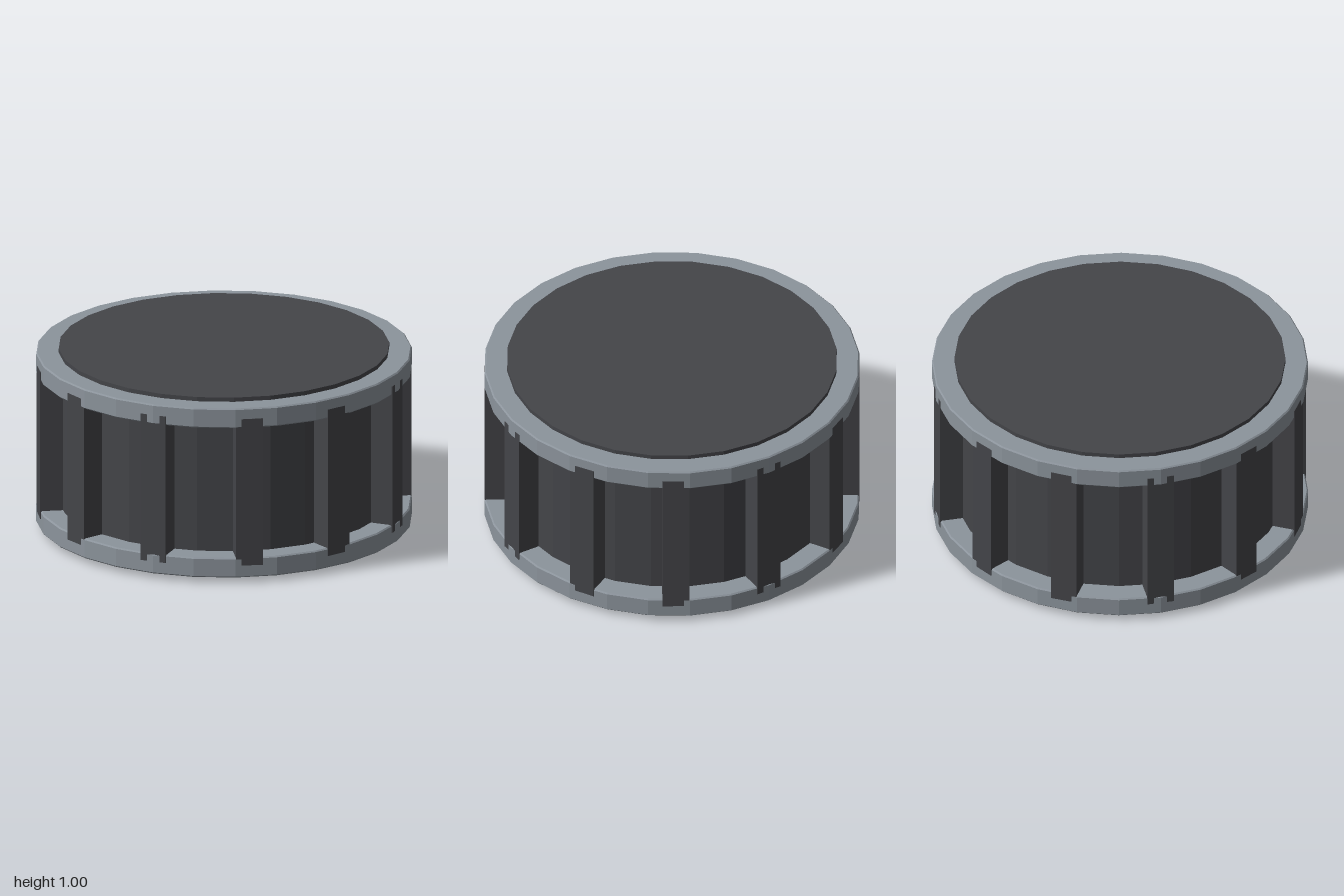
import * as THREE from 'three';

const SIDES = 28;
const LUGS = 12;

export function createModel() {
  const group = new THREE.Group();
  const dark = new THREE.MeshStandardMaterial({ color: 0x444549, flatShading: true });
  const light = new THREE.MeshStandardMaterial({ color: 0x8c949c, flatShading: true });

  const add = (name, geometry, material, parent = group) => {
    const mesh = new THREE.Mesh(geometry, material);
    mesh.name = name;
    parent.add(mesh);
    return mesh;
  };

  // Drum body, its flat ends standing slightly proud of the rims
  add('drumBody', new THREE.CylinderGeometry(0.88, 0.88, 1, SIDES), dark).position.y = 0.5;

  // Two rims with a fine bevel on the outer edges
  const h = 0.055, b = 0.007;
  const profile = [
    [0.87, -h], [1 - b, -h], [1, -h + b], [1, h - b], [1 - b, h], [0.87, h],
  ].map(([r, y]) => new THREE.Vector2(r, y));
  const rim = new THREE.LatheGeometry(profile, SIDES);
  add('lowerRim', rim, light).position.y = 0.085;
  add('upperRim', rim, light).position.y = 0.922;

  // Upright lugs bridging the rims
  const lugs = new THREE.Group();
  lugs.name = 'lugs';
  const lug = new THREE.BoxGeometry(0.144, 0.82, 0.146);
  lug.translate(0, 0.507, 0.923);
  for (let i = 0; i < LUGS; i++) {
    add('lug', lug, dark, lugs).rotation.y = (i / LUGS) * Math.PI * 2;
  }
  group.add(lugs);

  return group;
}
